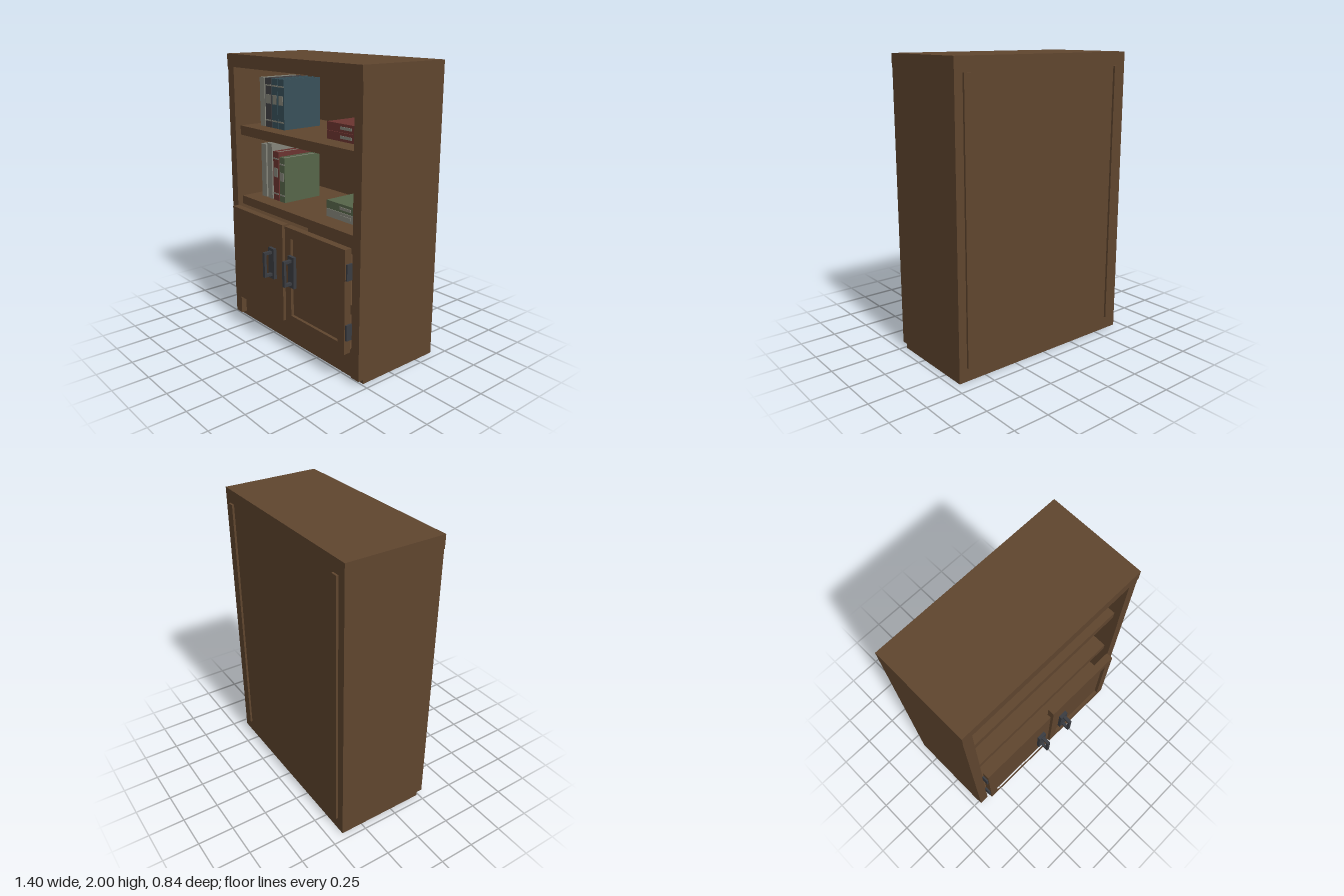
import * as THREE from 'three';

const mat = (name, color) => {
  const m = new THREE.MeshStandardMaterial({ color });
  m.name = name;
  return m;
};

export function createModel() {
  const wood = mat('brown wood', 0x5f452e);
  const metal = mat('dark metal', 0x3a3c41);
  const pale = mat('pale paper', 0x85857a);
  const charcoal = mat('charcoal cover', 0x414144);
  const blue = mat('blue cover', 0x385059);
  const red = mat('red cover', 0x6b3430);
  const green = mat('green cover', 0x566549);

  const root = new THREE.Group();
  root.name = 'bookcase';

  const group = (name, parent = root) => {
    const g = new THREE.Group();
    g.name = name;
    parent.add(g);
    return g;
  };
  // Box given by its extents on each axis
  const box = (parent, name, m, [x0, x1], [y0, y1], [z0, z1]) => {
    const mesh = new THREE.Mesh(new THREE.BoxGeometry(x1 - x0, y1 - y0, z1 - z0), m);
    mesh.position.set((x0 + x1) / 2, (y0 + y1) / 2, (z0 + z1) / 2);
    mesh.name = name;
    parent.add(mesh);
    return mesh;
  };
  // Extent on x, flipped for the right-hand side
  const side = (s, a, b) => (s > 0 ? [a, b] : [-b, -a]);

  // Carcass
  const carcass = group('carcass');
  box(carcass, 'backPanel', wood, [-0.63, 0.63], [0.195, 1.91], [-0.405, -0.385]);
  box(carcass, 'plinth', wood, [-0.63, 0.63], [0, 0.195], [-0.405, 0.235]);
  box(carcass, 'topPanel', wood, [-0.7, 0.7], [1.91, 2], [-0.405, 0.283]);
  const shelves = [['cupboardShelf', 0.44, 0.505], ['lowerShelf', 0.905, 0.967], ['upperShelf', 1.425, 1.492]];
  for (const [name, y0, y1] of shelves) {
    box(carcass, name, wood, [-0.63, 0.63], [y0, y1], [-0.385, 0.235]);
  }
  for (const s of [-1, 1]) {
    box(carcass, 'sidePanel', wood, side(s, 0.63, 0.7), [0, 1.91], [-0.405, 0.235]);
    box(carcass, 'frontStile', wood, side(s, 0.63, 0.7), [0.03, 1.91], [0.235, 0.278]);
    box(carcass, 'backBatten', wood, side(s, 0.593, 0.642), [0.092, 1.908], [-0.42, -0.405]);
  }

  // Doors with a recessed panel, hinges and a pull handle
  for (const s of [-1, 1]) {
    const door = group(s > 0 ? 'leftDoor' : 'rightDoor');
    box(door, 'doorPanel', wood, side(s, 0.015, 0.62), [0.205, 0.905], [0.278, 0.308]);
    const frame = new THREE.Shape([[0.015, 0.205], [0.62, 0.205], [0.62, 0.905], [0.015, 0.905]]
      .map(([x, y]) => new THREE.Vector2(s * x, y)));
    frame.holes.push(new THREE.Path([[0.075, 0.275], [0.557, 0.275], [0.557, 0.833], [0.075, 0.833]]
      .map(([x, y]) => new THREE.Vector2(s * x, y))));
    const frameMesh = new THREE.Mesh(new THREE.ExtrudeGeometry(frame, { depth: 0.022, bevelEnabled: false }), wood);
    frameMesh.position.z = 0.308;
    frameMesh.name = 'doorFrame';
    door.add(frameMesh);

    for (const y of [0.3, 0.703]) {
      box(door, 'hinge', metal, side(s, 0.619, 0.633), [y, y + 0.108], [0.278, 0.322]);
    }
    const handle = group('handle', door);
    box(handle, 'handlePlate', metal, side(s, 0.08, 0.143), [0.5, 0.722], [0.335, 0.358]);
    box(handle, 'handleGrip', metal, side(s, 0.1, 0.123), [0.522, 0.702], [0.403, 0.42]);
    for (const y of [0.522, 0.683]) {
      box(handle, 'handlePost', metal, side(s, 0.1, 0.123), [y, y + 0.019], [0.358, 0.403]);
    }
  }

  // Books: spine, two boards, pages, and optional bands and label
  const front = 0.12, back = -0.2;
  const book = (x0, x1, y0, y1, m, label) => {
    const b = group('book');
    const t = 0.008;
    box(b, 'spine', m, [x0, x1], [y0, y1], [front - t, front]);
    box(b, 'coverBoard', m, [x0, x0 + t], [y0, y1], [back, front - t]);
    box(b, 'coverBoard', m, [x1 - t, x1], [y0, y1], [back, front - t]);
    box(b, 'pages', pale, [x0 + t, x1 - t], [y0 + t, y1 - t], [back + t, front - t]);
    if (!label) return;
    for (const y of [y0 + 0.045, y1 - 0.055]) {
      box(b, 'spineBand', pale, [x0 + 0.002, x1 - 0.002], [y, y + 0.01], [front, front + 0.003]);
    }
    box(b, 'spineLabel', pale, [x0 + 0.01, x1 - 0.01], label, [front, front + 0.003]);
  };
  book(-0.54, -0.483, 1.492, 1.838, pale);
  book(-0.473, -0.403, 1.492, 1.838, charcoal, [1.66, 1.725]);
  book(-0.397, -0.33, 1.492, 1.838, blue, [1.66, 1.725]);
  book(-0.325, -0.255, 1.492, 1.838, blue, [1.66, 1.725]);
  book(-0.54, -0.483, 0.967, 1.36, pale);
  book(-0.465, -0.41, 0.967, 1.375, pale);
  book(-0.395, -0.33, 0.967, 1.325, red, [1.14, 1.207]);
  book(-0.32, -0.26, 0.967, 1.293, green, [1.12, 1.182]);

  // Stacked storage boxes with front labels
  const boxes = [[1.492, 1.548, red], [1.55, 1.605, red], [0.967, 1.022, pale], [1.024, 1.08, green]];
  for (const [y0, y1, m] of boxes) {
    const g = group('storageBox');
    box(g, 'boxBody', m, [0.165, 0.535], [y0, y1], [-0.2, 0.09]);
    box(g, 'boxLabel', pale, [0.297, 0.405], [y0 + 0.018, y0 + 0.037], [0.09, 0.094]);
  }
  return root;
}
